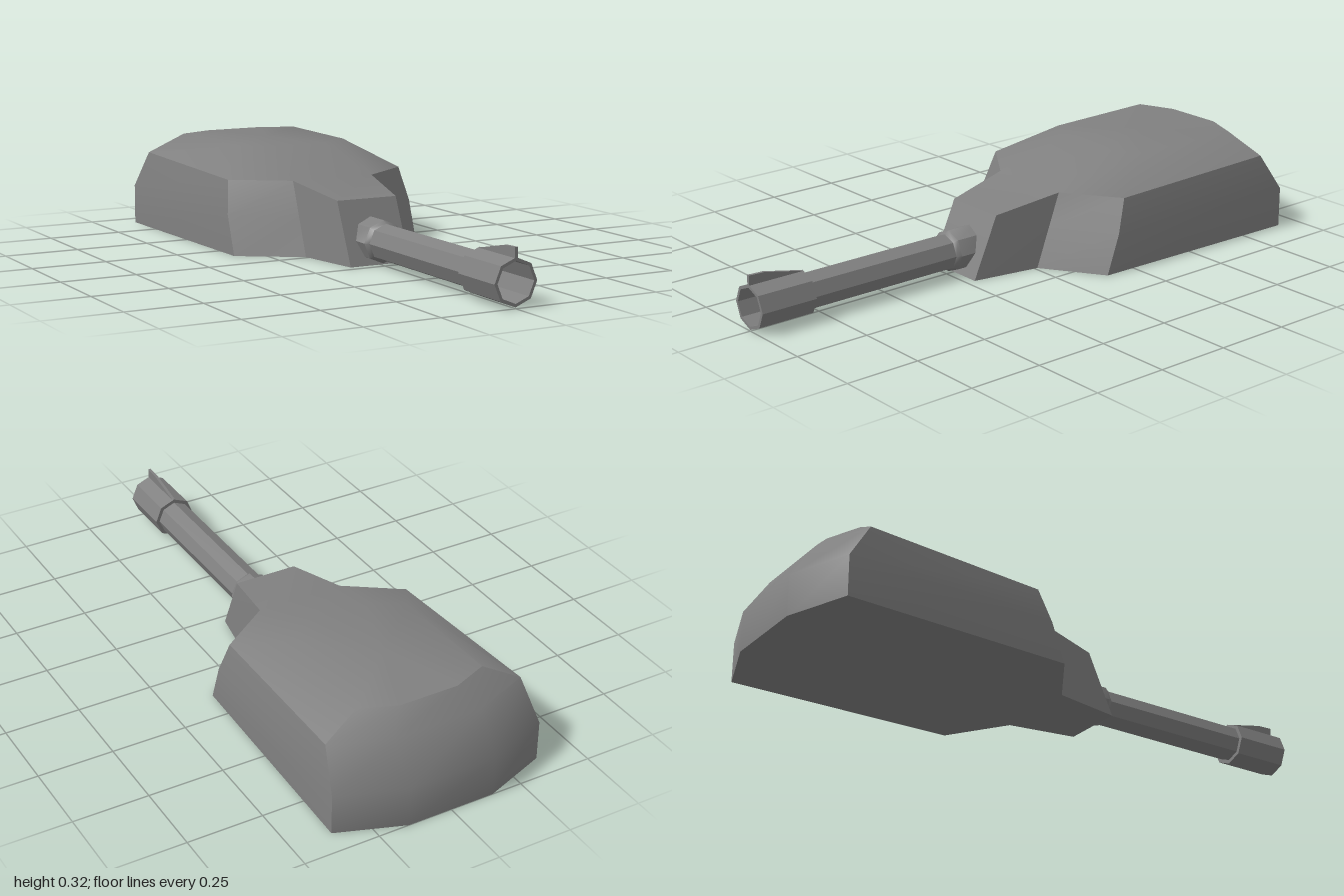
import * as THREE from 'three';
import { toCreasedNormals } from 'three/addons/utils/BufferGeometryUtils.js';

const CREASE = 0.69; // radians: gentle bends stay smooth, harder ones become edges

// Half outlines (x, y, z): nose, notch, cheek, rear side, rear centre
const RINGS = [
  [[0.108, 0, 0.22], [0.148, 0, -0.01], [0.345, 0, -0.14], [0.365, 0, -0.92], [0.148, 0, -1]],
  [[0.108, 0.13, 0.162], [0.148, 0.13, -0.059], [0.345, 0.13, -0.186], [0.365, 0.135, -0.92], [0.148, 0.135, -1]],
  [[0.108, 0.202, 0.13], [0.148, 0.24, -0.1], [0.325, 0.24, -0.225], [0.342, 0.262, -0.84], [0.15, 0.262, -0.915]],
  [[0.148, 0.24, -0.1], [0.148, 0.24, -0.1], [0.325, 0.24, -0.225], [0.342, 0.262, -0.84], [0.15, 0.262, -0.915]],
  [[0.1, 0.325, -0.335], [0.1, 0.325, -0.335], [0.208, 0.325, -0.41], [0.22, 0.325, -0.808], [0.1, 0.325, -0.856]],
];

// Mirrors each half outline, skins neighbouring rings and closes both ends
function hullGeometry() {
  const rings = RINGS.map((half) => {
    const right = half.map((p) => new THREE.Vector3(...p));
    const left = right.map((p) => new THREE.Vector3(-p.x, p.y, p.z)).reverse();
    return [...right, ...left];
  });
  const points = [];
  const triangle = (a, b, c) => {
    if (new THREE.Triangle(a, b, c).getArea() > 1e-7) points.push(a, b, c);
  };
  const n = rings[0].length;
  const top = rings[rings.length - 1];
  const baseCentre = new THREE.Vector3(0, 0, -0.4);
  const roofCentre = new THREE.Vector3(0, top[0].y, -0.6);
  for (let i = 0; i < n; i++) {
    const j = (i + 1) % n;
    for (let k = 0; k < rings.length - 1; k++) {
      const lower = rings[k], upper = rings[k + 1];
      triangle(lower[i], lower[j], upper[j]);
      triangle(lower[i], upper[j], upper[i]);
    }
    triangle(baseCentre, rings[0][j], rings[0][i]);
    triangle(roofCentre, top[i], top[j]);
  }
  return toCreasedNormals(new THREE.BufferGeometry().setFromPoints(points), CREASE);
}

// Eight-sided turned part along z, from [radius, z] pairs
function turned(profile) {
  const g = new THREE.LatheGeometry(profile.map(([r, z]) => new THREE.Vector2(r, z)), 8);
  g.rotateX(Math.PI / 2);
  g.translate(0, 0.077, 0);
  return toCreasedNormals(g, CREASE);
}

// Thin fin drawn in side profile as [z, y]
function finGeometry() {
  const shape = new THREE.Shape(
    [[0.81, 0.14], [1, 0.14], [1, 0.18], [0.945, 0.178], [0.81, 0.149]].map((p) => new THREE.Vector2(...p)));
  const g = new THREE.ExtrudeGeometry(shape, { depth: 0.01, bevelEnabled: false });
  g.rotateY(-Math.PI / 2);
  g.translate(0.005, 0, 0);
  return g;
}

export function createModel() {
  const grey = new THREE.MeshStandardMaterial({ color: 0x808080 });
  grey.name = 'steel grey';

  const model = new THREE.Group();
  model.name = 'gunTurret';
  const add = (name, geometry) => {
    const mesh = new THREE.Mesh(geometry, grey);
    mesh.name = name;
    model.add(mesh);
  };

  add('turretHull', hullGeometry());
  // Collar, barrel and hollow muzzle
  add('barrelCollar', turned([[0.07, 0.12], [0.07, 0.24], [0.06, 0.255]]));
  add('barrel', turned([[0.06, 0.12], [0.06, 0.81]]));
  add('muzzle', turned([[0, 0.805], [0.073, 0.805], [0.073, 1], [0.063, 1], [0.063, 0.815], [0, 0.815]]));
  add('frontSight', finGeometry());
  return model;
}
